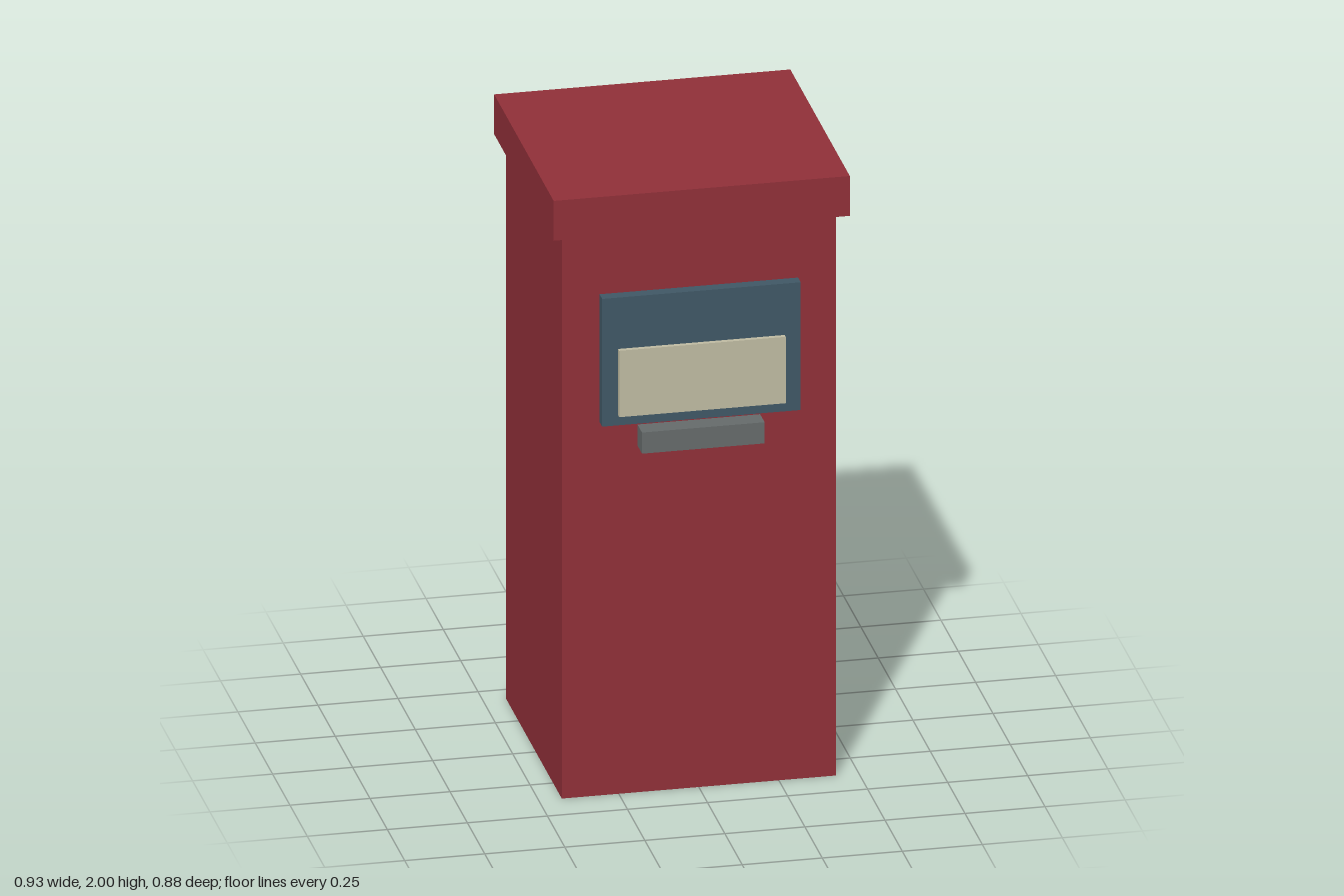
import * as THREE from 'three';

const paint = (name, color) => {
  const m = new THREE.MeshStandardMaterial({ color });
  m.name = name;
  return m;
};

export function createModel() {
  const red = paint('red', 0x8f2f38);
  const blue = paint('slateBlue', 0x3f5765);
  const cream = paint('cream', 0xbebaa1);
  const grey = paint('grey', 0x656a6a);

  const model = new THREE.Group();
  model.name = 'postBox';

  // Box centred on x = 0, given by its width and its y and z limits
  const block = (name, material, width, y0, y1, z0, z1) => {
    const mesh = new THREE.Mesh(new THREE.BoxGeometry(width, y1 - y0, z1 - z0), material);
    mesh.position.set(0, (y0 + y1) / 2, (z0 + z1) / 2);
    mesh.name = name;
    model.add(mesh);
  };

  // Pillar and overhanging lid
  block('body', red, 0.856, 0, 1.87, -0.43, 0.375);
  block('lid', red, 0.925, 1.868, 2, -0.44, 0.417);

  // Front fittings
  block('backPanel', blue, 0.62, 1.237, 1.66, 0.37, 0.413);
  block('noticePlate', cream, 0.52, 1.27, 1.49, 0.41, 0.428);
  block('slotLedge', grey, 0.383, 1.148, 1.218, 0.37, 0.44);

  return model;
}
